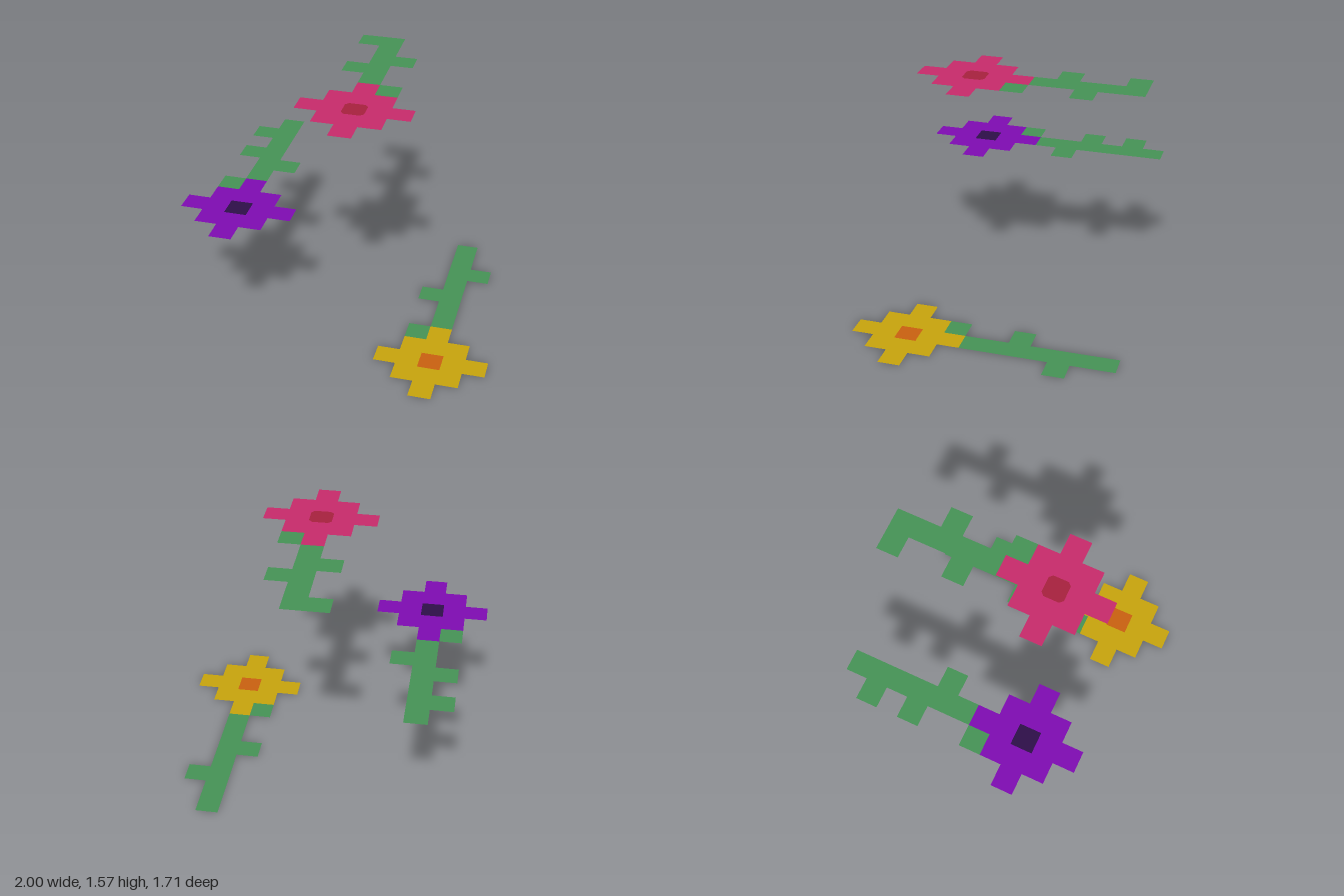
import * as THREE from 'three';
import { mergeGeometries } from 'three/addons/utils/BufferGeometryUtils.js';

const U = 1 / 7; // size of one square cell

const paint = (name, color) => {
  const m = new THREE.MeshStandardMaterial({ color, side: THREE.DoubleSide });
  m.name = name;
  return m;
};

// Each flower: centre cell (column, row), height in cells, stem length and leaf cells
const FLOWERS = [
  { name: 'purpleFlower', col: -5, row: 2, height: 6, petal: 0x800cb4, heart: 0x2e0f4a, cut: 0,
    stem: 6, leaves: [[-6, -5], [-6, -3], [-4, -2], [-6, 0]] },
  { name: 'pinkFlower', col: 0, row: 1, height: 11, petal: 0xc92b6c, heart: 0xa9223f, cut: 0.15,
    stem: 5, leaves: [[-1, -6], [1, -4], [-1, -3], [1, -1]] },
  { name: 'yellowFlower', col: 4, row: 3, height: 0, petal: 0xc9a60d, heart: 0xcc6210, cut: 0,
    stem: 7, leaves: [[5, -4], [3, -2], [3, 1]] },
];

// Flat, upward-facing rectangle measured in cells
function patch(col, row, w = 1, d = 1) {
  return new THREE.PlaneGeometry(w * U, d * U).rotateX(-Math.PI / 2)
    .translate((col + w / 2) * U, 0, (row + d / 2) * U);
}

// Upward-facing sheet from a shape drawn around the middle of a cell
function sheet(shape, col, row) {
  return new THREE.ShapeGeometry(shape).rotateX(-Math.PI / 2)
    .translate((col + 0.5) * U, 0, (row + 0.5) * U);
}

// Stepped outline of the petals: one quarter turned four times
function petalOutline() {
  const pts = [];
  for (let i = 0; i < 4; i++) {
    for (const [x, y] of [[2.5, -0.5], [2.5, 0.5], [1.5, 0.5], [1.5, 1.5], [0.5, 1.5]]) {
      pts.push(new THREE.Vector2(x * U, y * U).rotateAround(new THREE.Vector2(), i * Math.PI / 2));
    }
  }
  return pts;
}

// Square heart, optionally with clipped corners
function heartOutline(cut) {
  const pts = [];
  for (let i = 0; i < 4; i++) {
    const corner = cut ? [[0.5, 0.5 - cut], [0.5 - cut, 0.5]] : [[0.5, 0.5]];
    for (const [x, y] of corner) {
      pts.push(new THREE.Vector2(x * U, y * U).rotateAround(new THREE.Vector2(), i * Math.PI / 2));
    }
  }
  return pts;
}

export function createModel() {
  const model = new THREE.Group();
  model.name = 'flowers';
  const green = paint('stemGreen', 0x469457);

  for (const f of FLOWERS) {
    const flower = new THREE.Group();
    flower.name = f.name;
    flower.position.y = f.height * U;
    const add = (name, geometry, material) => {
      const mesh = new THREE.Mesh(geometry, material);
      mesh.name = name;
      flower.add(mesh);
    };

    // Petals with an opening that the heart fills exactly
    const petals = new THREE.Shape(petalOutline());
    petals.holes.push(new THREE.Path(heartOutline(f.cut)));
    add('petals', sheet(petals, f.col, f.row), paint(f.name + 'Petal', f.petal));
    add('heart', sheet(new THREE.Shape(heartOutline(f.cut)), f.col, f.row), paint(f.name + 'Heart', f.heart));

    // Stem running to the back, with side leaves
    add('stem', patch(f.col, -6, 1, f.stem), green);
    add('leaves', mergeGeometries(f.leaves.map(([c, r]) => patch(c, r))), green);
    model.add(flower);
  }
  return model;
}
